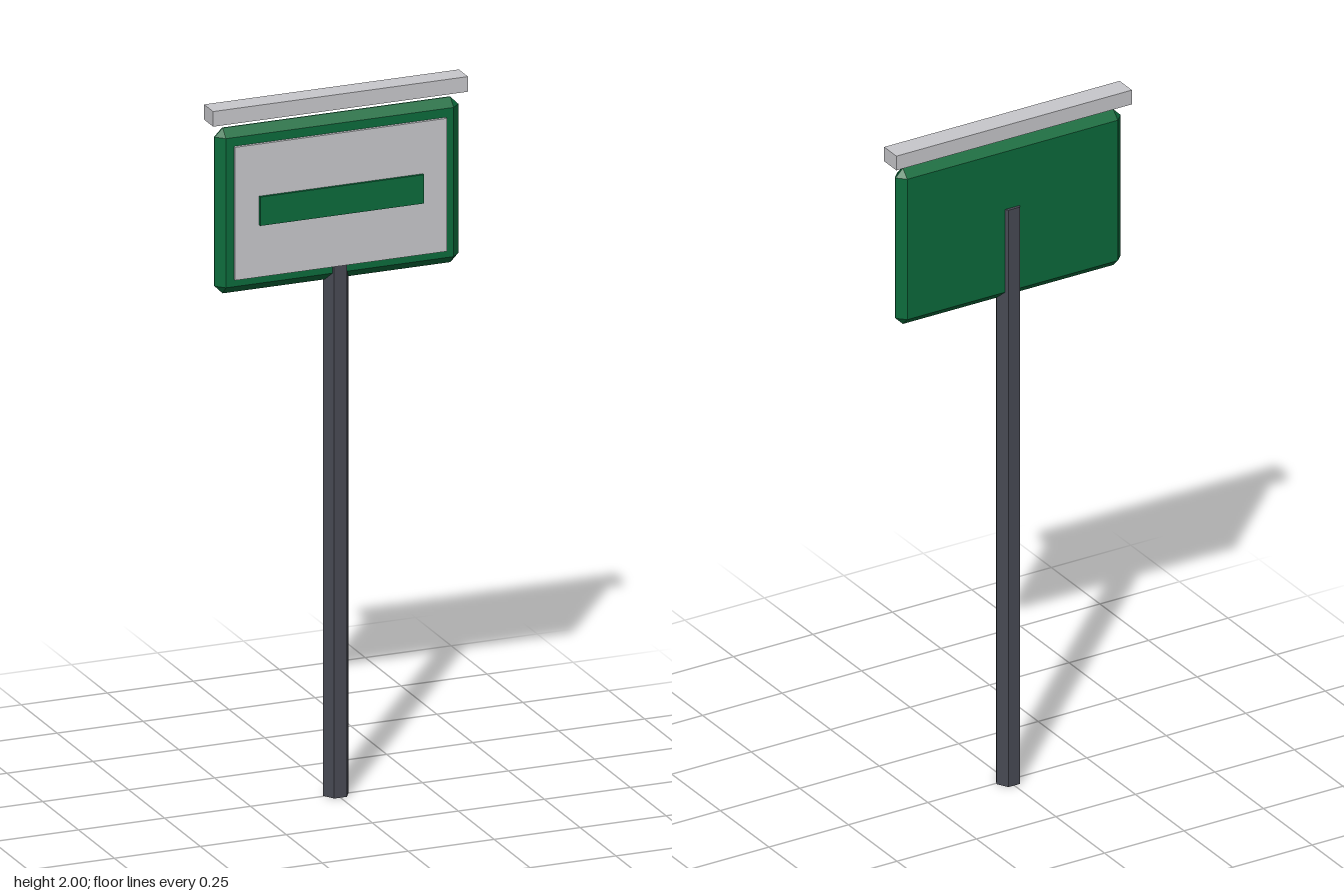
import * as THREE from 'three';
import { ConvexGeometry } from 'three/addons/geometries/ConvexGeometry.js';

const material = (name, color, flatShading = false) => {
  const m = new THREE.MeshStandardMaterial({ color, flatShading });
  m.name = name;
  return m;
};

// Box whose edges and corners are all chamfered by c
function chamferedBox(hx, hy, hz, c) {
  const points = [];
  for (const sx of [-1, 1]) for (const sy of [-1, 1]) for (const sz of [-1, 1]) {
    points.push(
      new THREE.Vector3(sx * (hx - c), sy * (hy - c), sz * hz),
      new THREE.Vector3(sx * hx, sy * (hy - c), sz * (hz - c)),
      new THREE.Vector3(sx * (hx - c), sy * hy, sz * (hz - c)),
    );
  }
  return new ConvexGeometry(points);
}

export function createModel() {
  const group = new THREE.Group();
  group.name = 'signpost';
  const green = material('green', 0x0b6b3c);
  const grey = material('light grey', 0xc8c8cc);
  const steel = material('dark steel', 0x484a54, true);

  const add = (name, geometry, mat, x, y, z) => {
    const mesh = new THREE.Mesh(geometry, mat);
    mesh.name = name;
    mesh.position.set(x, y, z);
    group.add(mesh);
    return mesh;
  };

  // Hexagonal post with a flat side to the front
  const post = new THREE.CylinderGeometry(0.037, 0.037, 1.742, 6);
  post.rotateY(Math.PI / 6);
  add('post', post, steel, 0, 0.871, -0.004);

  // Chamfered sign board
  add('board', chamferedBox(0.354, 0.235, 0.025, 0.023), green, 0, 1.704, -0.002);

  // Raised face panel and the bar across it
  add('facePanel', new THREE.BoxGeometry(0.616, 0.378, 0.012), grey, 0, 1.702, 0.026);
  add('bar', new THREE.BoxGeometry(0.476, 0.082, 0.009), green, 0, 1.702, 0.0355);

  // Strip floating just above the board
  add('topStrip', new THREE.BoxGeometry(0.741, 0.043, 0.063), grey, 0, 1.9785, -0.0035);

  return group;
}
